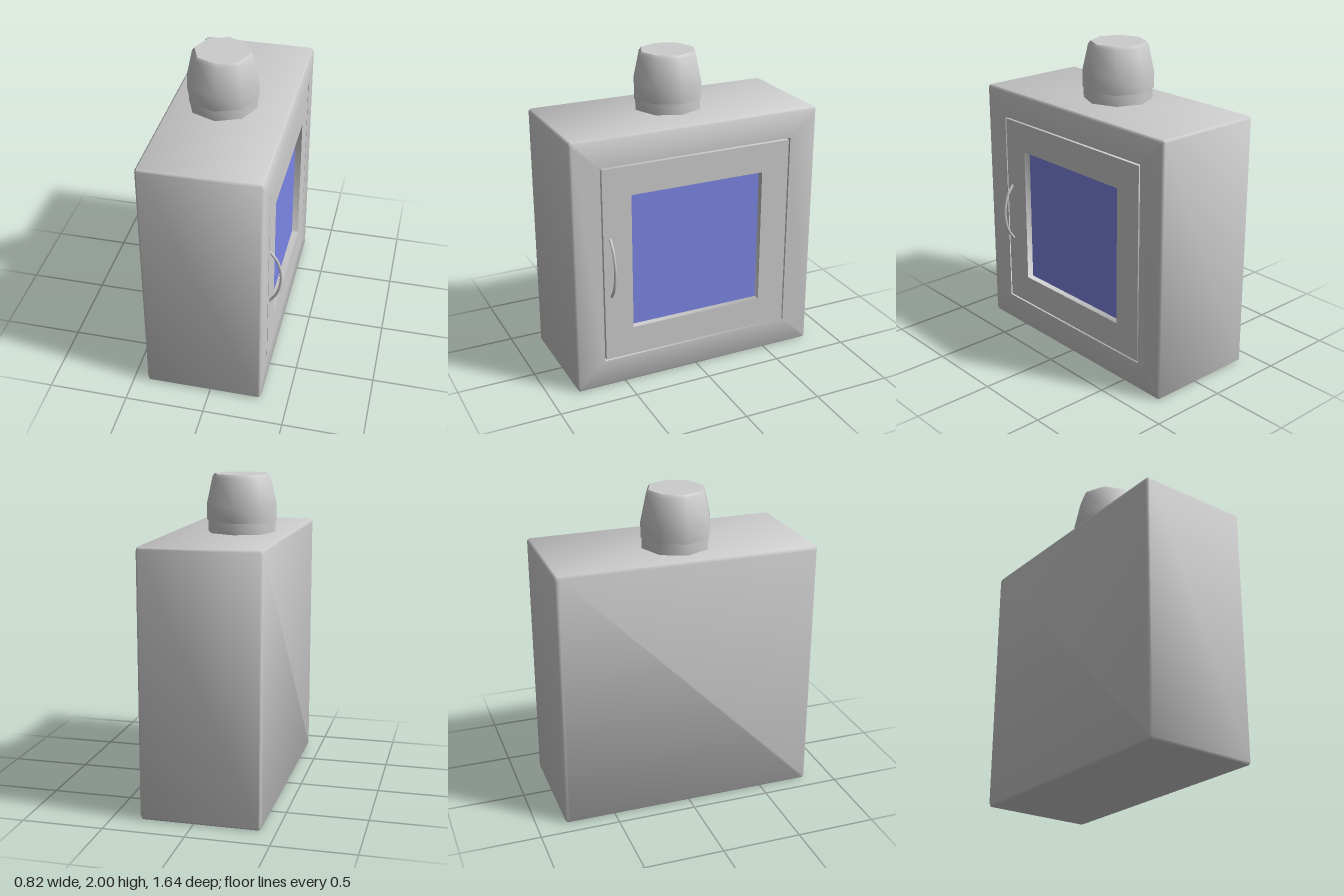
import * as THREE from 'three';
import { toCreasedNormals } from 'three/addons/utils/BufferGeometryUtils.js';

const CREASE = 0.9;

// Skin along x through chamfered rectangles: [x, halfZ, bottomY, topY, chamfer]
function loftX(rings) {
  const pos = [], index = [], n = 8;
  for (const [x, hz, y0, y1, c] of rings) {
    const loop = [
      [y1, -hz + c], [y1, hz - c], [y1 - c, hz], [y0 + c, hz],
      [y0, hz - c], [y0, -hz + c], [y0 + c, -hz], [y1 - c, -hz],
    ];
    for (const [y, z] of loop) pos.push(x, y, z);
  }
  const last = (rings.length - 1) * n;
  for (let r = 0; r < last; r += n) {
    for (let i = 0; i < n; i++) {
      const a = r + i, b = r + (i + 1) % n;
      index.push(a, b, b + n, a, b + n, a + n);
    }
  }
  for (let i = 1; i < n - 1; i++) {
    index.push(0, i + 1, i, last, last + i, last + i + 1);
  }
  const geo = new THREE.BufferGeometry();
  geo.setAttribute('position', new THREE.Float32BufferAttribute(pos, 3));
  geo.setIndex(index);
  return toCreasedNormals(geo, CREASE);
}

export function createModel() {
  const model = new THREE.Group();
  model.name = 'stove';
  const grey = new THREE.MeshStandardMaterial({ color: 0xcccccc });
  grey.name = 'grey metal';
  const blue = new THREE.MeshStandardMaterial({ color: 0x7c86e5 });
  blue.name = 'blue glass';

  const add = (name, geo, mat, x = 0, y = 0, z = 0) => {
    const mesh = new THREE.Mesh(geo, mat);
    mesh.name = name;
    mesh.position.set(x, y, z);
    model.add(mesh);
  };

  // Bevelled cabinet with a shallow pocket for the door
  const b = 0.013;
  add('cabinet', loftX([
    [-0.41, 0.82 - b, b, 1.64 - b, b],
    [-0.41 + b, 0.82, 0, 1.64, b],
    [0.328 - b, 0.82, 0, 1.64, b],
    [0.328, 0.82 - b, b, 1.64 - b, b],
    [0.328, 0.638, 0.18, 1.46, 0.002],
    [0.27, 0.638, 0.18, 1.46, 0.002],
  ]), grey);

  // Door separated from the cabinet by a thin gap, with a recessed opening
  add('door', loftX([
    [0.265, 0.628, 0.19, 1.45, 0.002],
    [0.328, 0.628, 0.19, 1.45, 0.002],
    [0.328, 0.443, 0.377, 1.263, 0.002],
    [0.282, 0.443, 0.377, 1.263, 0.002],
  ]), grey);

  // Window pane
  add('window', new THREE.BoxGeometry(0.008, 0.886, 0.886), blue, 0.282, 0.82, 0);

  // Curved door handle
  const grip = new THREE.CatmullRomCurve3([
    [0.322, 0.615], [0.372, 0.685], [0.397, 0.81], [0.372, 0.935], [0.322, 1.005],
  ].map(([x, y]) => new THREE.Vector3(x, y, 0)));
  add('handle', new THREE.TubeGeometry(grip, 12, 0.009, 8), grey, 0, 0, 0.583);

  // Eight-sided flue collar and tapered cap
  const flue = (points) => toCreasedNormals(
    new THREE.LatheGeometry(points.map(([r, y]) => new THREE.Vector2(r, y)), 8), CREASE);
  add('flueCollar', flue([[0.216, 1.6], [0.216, 1.72]]), grey, -0.093, 0, 0.012);
  add('flueCap', flue([
    [0, 1.71], [0.224, 1.71], [0.224, 1.81], [0.187, 1.98], [0.172, 2], [0, 2],
  ]), grey, -0.093, 0, 0.012);

  return model;
}
